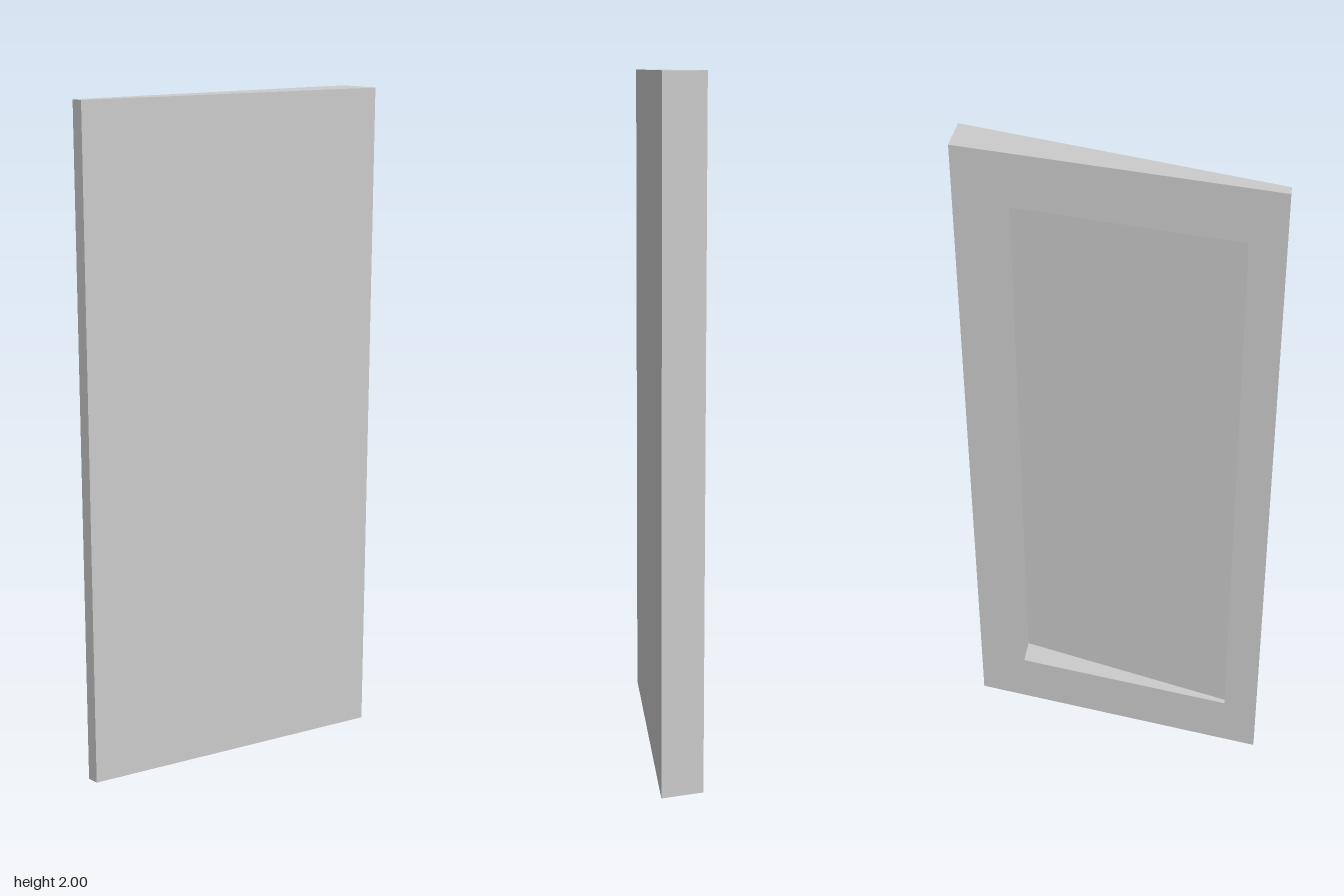
import * as THREE from 'three';

const H = 2, ZB = -0.455, ZF = 0.455, WALL = 0.031;

// Straight lines in plan: x of each upright plane at a given z
const plane = (xBack, xFront) => z => THREE.MathUtils.mapLinear(z, ZB, ZF, xBack, xFront);
const plainFace = plane(0.135, -0.101);
const framedFace = plane(0.009, -0.137);
const recessFloor = z => plainFace(z) - WALL;

// Rectangle of four corners lying on one of the planes
function ring(xAt, z0, z1, y0, y1) {
  return [[z0, y0], [z1, y0], [z1, y1], [z0, y1]].map(([z, y]) => [xAt(z), y, z]);
}

// Skin a series of rings and cap both ends
function skin(rings) {
  const pos = [];
  const quad = (a, b, c, d) => pos.push(...a, ...b, ...c, ...a, ...c, ...d);
  quad(...[...rings[0]].reverse());
  for (let i = 0; i + 1 < rings.length; i++) {
    const a = rings[i], b = rings[i + 1];
    for (let j = 0; j < 4; j++) {
      const k = (j + 1) % 4;
      quad(a[j], a[k], b[k], b[j]);
    }
  }
  quad(...rings[rings.length - 1]);
  const geo = new THREE.BufferGeometry();
  geo.setAttribute('position', new THREE.Float32BufferAttribute(pos, 3));
  geo.computeVertexNormals();
  return geo;
}

export function createModel() {
  const group = new THREE.Group();
  group.name = 'wedgePanel';

  // Tapered slab with a rectangular recess, floor parallel to the plain face
  const opening = [-0.31, 0.355, 0.16, H - 0.16];
  const panel = new THREE.Mesh(
    skin([
      ring(plainFace, ZB, ZF, 0, H),
      ring(framedFace, ZB, ZF, 0, H),
      ring(framedFace, ...opening),
      ring(recessFloor, ...opening),
    ]),
    new THREE.MeshStandardMaterial({ color: 0xcccccc, flatShading: true })
  );
  panel.name = 'recessedPanel';
  group.add(panel);
  return group;
}
